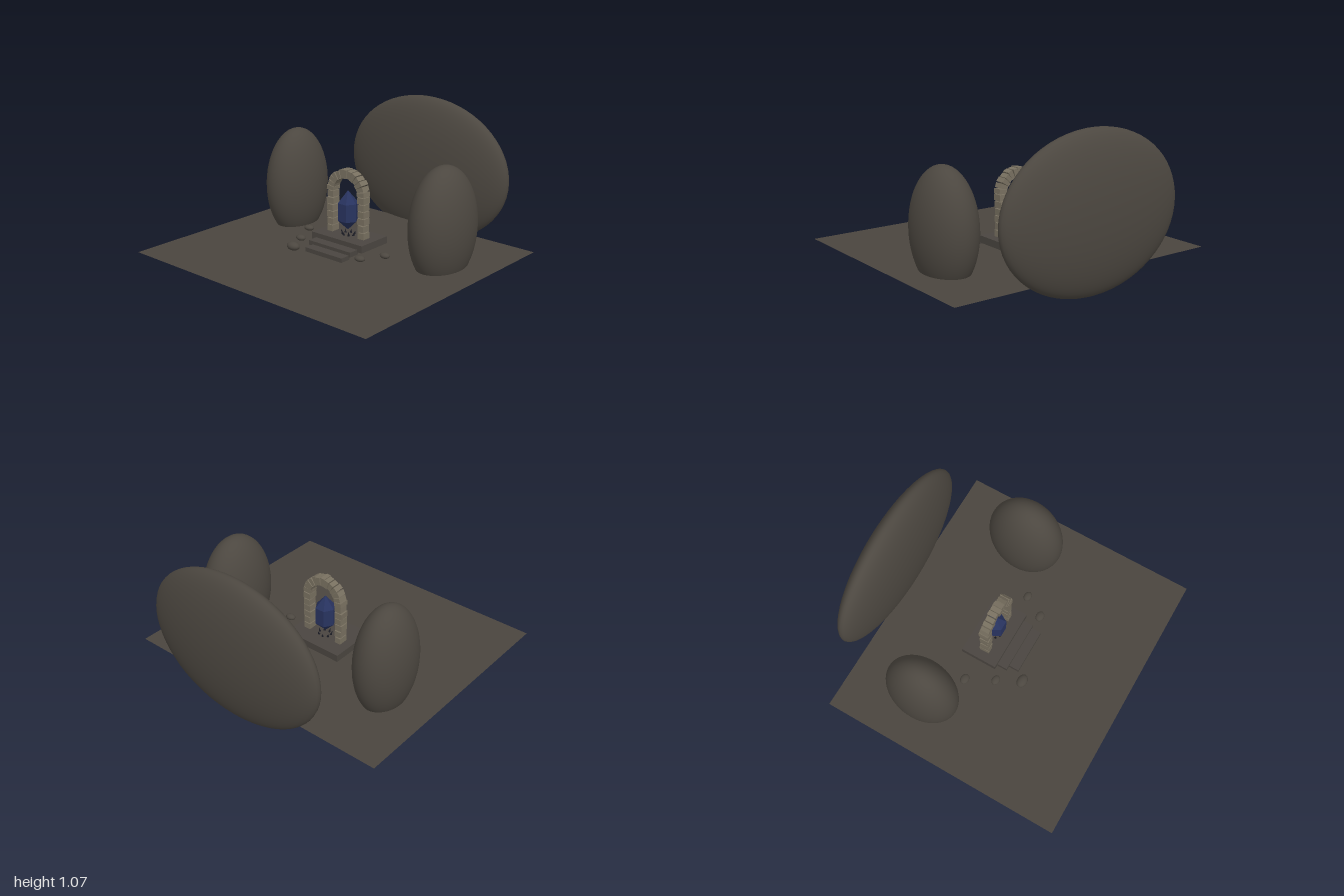
import * as THREE from 'three';

const mat = (name, color) => {
  const m = new THREE.MeshStandardMaterial({ color });
  m.name = name;
  return m;
};

export function createModel() {
  const root = new THREE.Group();
  root.name = 'crystalShrine';

  const earth = mat('earth', 0x4a453e);
  earth.side = THREE.DoubleSide;
  const boulderStone = mat('boulderStone', 0x4c4740);
  const stepStone = mat('stepStone', 0x4a4540);
  const archStone = mat('archStone', 0x787060);
  const crystalBlue = mat('crystalBlue', 0x28335f);
  const shardDark = mat('shardDark', 0x1c1d26);
  for (const m of [crystalBlue, shardDark]) m.flatShading = true;

  const add = (parent, name, geometry, material, x, y, z) => {
    const mesh = new THREE.Mesh(geometry, material);
    mesh.name = name;
    mesh.position.set(x, y, z);
    parent.add(mesh);
    return mesh;
  };
  const group = (name) => {
    const g = new THREE.Group();
    g.name = name;
    root.add(g);
    return g;
  };

  // Seeded variation for the hand-cut stones
  let seed = 7;
  const vary = (amount) => {
    seed = (seed * 16807) % 2147483647;
    return (seed / 2147483647 - 0.5) * 2 * amount;
  };

  // Ground sheet
  const ground = new THREE.PlaneGeometry(2, 1.752).rotateX(-Math.PI / 2);
  add(root, 'ground', ground, earth, 0, 0.142, 0.099);

  // Large smooth boulders, partly sunk through the ground
  const sphere = new THREE.SphereGeometry(1, 48, 32);
  const boulders = group('boulders');
  [
    ['rightBoulder', -0.652, 0.437, -0.212, 0.183, 0.405, 0.258],
    ['leftBoulder', 0.674, 0.408, -0.176, 0.194, 0.407, 0.275],
    ['backBoulder', 0.048, 0.549, -0.838, 0.69, 0.52, 0.142],
  ].forEach(([name, x, y, z, rx, ry, rz]) => {
    add(boulders, name, sphere, boulderStone, x, y, z).scale.set(rx, ry, rz);
  });

  // Small scattered stones
  const pebble = new THREE.SphereGeometry(1, 16, 10);
  const stones = group('smallStones');
  [
    [-0.39, 0.187, -0.053, 0.039, 0.02, 0.03],
    [-0.29, 0.187, 0.136, 0.037, 0.02, 0.028],
    [-0.205, 0.192, 0.298, 0.05, 0.029, 0.036],
    [0.272, 0.187, 0.172, 0.039, 0.02, 0.03],
    [0.36, 0.187, 0.023, 0.037, 0.02, 0.028],
  ].forEach(([x, y, z, rx, ry, rz]) => {
    add(stones, 'smallStone', pebble, boulderStone, x, y, z).scale.set(rx, ry, rz);
  });

  // Platform with two steps in front
  const dais = group('platform');
  const slab = (name, x0, x1, y0, y1, z0, z1) =>
    add(dais, name, new THREE.BoxGeometry(x1 - x0, y1 - y0, z1 - z0), stepStone,
      (x0 + x1) / 2, (y0 + y1) / 2, (z0 + z1) / 2);
  slab('platformSlab', -0.225, 0.22, 0.185, 0.235, -0.171, 0.092);
  slab('upperStep', -0.188, 0.182, 0.168, 0.202, 0.085, 0.164);
  slab('lowerStep', -0.15, 0.17, 0.149, 0.179, 0.155, 0.236);

  // Stone arch: stacked pillar blocks, then wedge stones round the top
  const arch = group('arch');
  arch.position.set(-0.003, 0, -0.028);
  const springY = 0.53;
  const rMid = 0.135;
  for (const side of [-1, 1]) {
    const courses = 6;
    const step = (springY - 0.235) / courses;
    for (let i = 0; i < courses; i++) {
      const block = new THREE.BoxGeometry(0.052 + vary(0.006), step - 0.006, 0.066 + vary(0.006));
      const mesh = add(arch, 'pillarBlock', block, archStone,
        side * rMid + vary(0.003), 0.235 + step * (i + 0.5), vary(0.003));
      mesh.rotation.set(0, vary(0.06), vary(0.03));
    }
  }
  const wedges = 13;
  for (let i = 0; i < wedges; i++) {
    const a = (Math.PI * (i + 0.5)) / wedges;
    const block = new THREE.BoxGeometry(0.056 + vary(0.005), 0.029, 0.066 + vary(0.006));
    // Widen the outer end into a wedge
    const p = block.attributes.position;
    for (let v = 0; v < p.count; v++) p.setY(v, p.getY(v) * (1 + p.getX(v) * 5));
    block.computeVertexNormals();
    const mesh = add(arch, 'archStone', block, archStone,
      Math.cos(a) * rMid, springY + Math.sin(a) * rMid, vary(0.003));
    mesh.rotation.z = a + vary(0.04);
  }

  // Six-sided crystal with pointed ends
  const profile = [[0, 0.27], [0.071, 0.338], [0.071, 0.462], [0, 0.548]]
    .map(([r, y]) => new THREE.Vector2(r, y));
  const crystal = new THREE.LatheGeometry(profile, 6, Math.PI / 2);
  add(root, 'crystal', crystal, crystalBlue, -0.004, 0, -0.028);

  // Dark shards beneath the crystal
  const shards = group('shards');
  for (let i = 0; i < 7; i++) {
    const a = (i / 7) * Math.PI * 2;
    const h = 0.034 + vary(0.008);
    const mesh = add(shards, 'shard', new THREE.ConeGeometry(0.009, h, 5), shardDark,
      Math.cos(a) * 0.048, 0.233 + h / 2, -0.028 + Math.sin(a) * 0.042);
    mesh.rotation.set(Math.sin(a) * 0.35, 0, -Math.cos(a) * 0.35);
  }

  return root;
}
